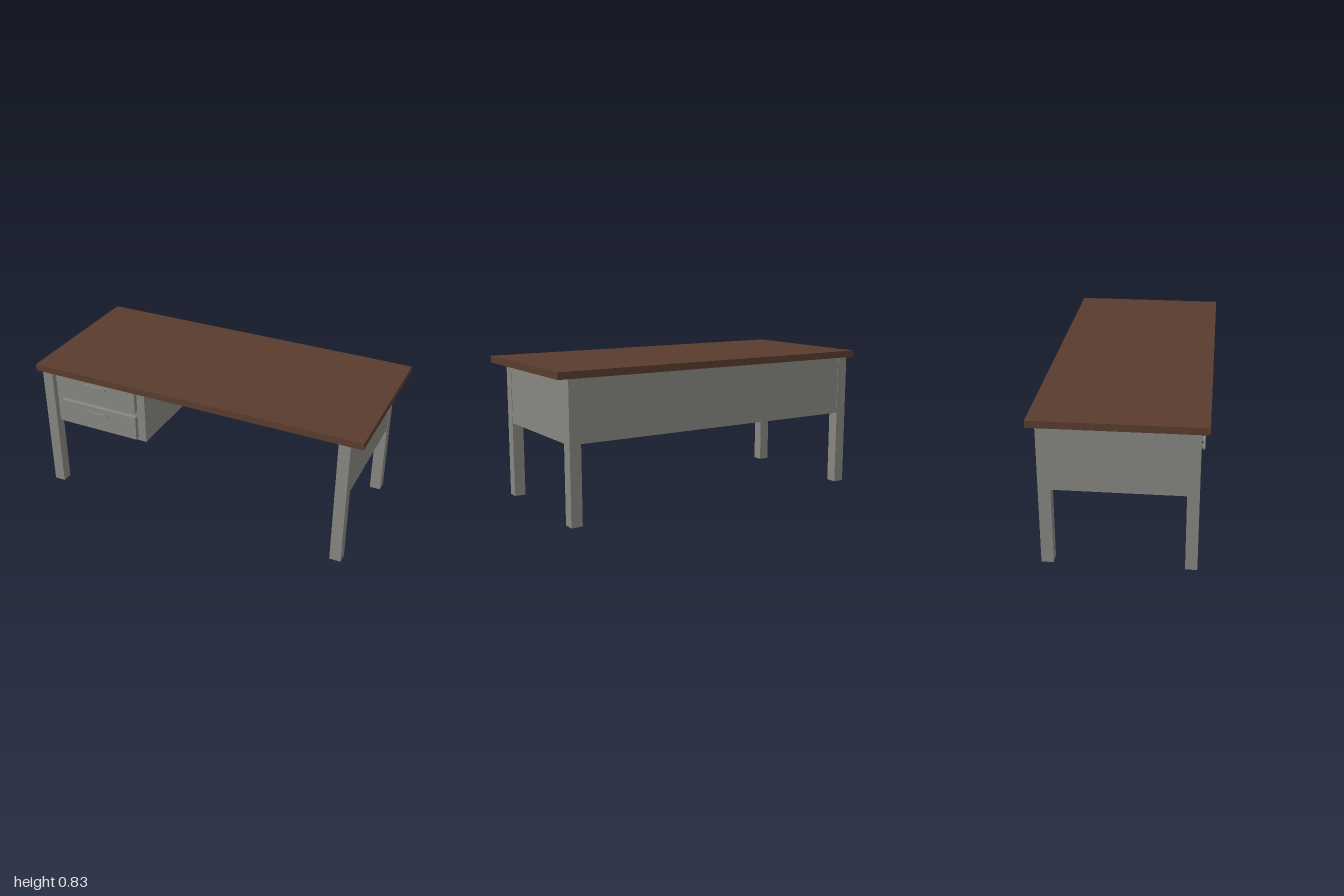
import * as THREE from 'three';

export function createModel() {
  const desk = new THREE.Group();
  desk.name = 'desk';
  const wood = new THREE.MeshStandardMaterial({ color: 0x593c2e });
  wood.name = 'brown wood';
  const metal = new THREE.MeshStandardMaterial({ color: 0x868681 });
  metal.name = 'grey metal';

  // Box given by its extents along each axis
  function box(name, [x0, x1], [y0, y1], [z0, z1], material = metal, parent = desk) {
    const mesh = new THREE.Mesh(new THREE.BoxGeometry(x1 - x0, y1 - y0, z1 - z0), material);
    mesh.position.set((x0 + x1) / 2, (y0 + y1) / 2, (z0 + z1) / 2);
    mesh.name = name;
    parent.add(mesh);
    return mesh;
  }

  const under = 0.794;
  box('tableTop', [-1, 1], [under, 0.833], [-0.458, 0.458], wood);

  // Four square legs
  const legX = { right: [-0.988, -0.922], left: [0.855, 0.921] };
  const legZ = { Front: [0.352, 0.416], Back: [-0.411, -0.345] };
  for (const side in legX)
    for (const end in legZ)
      box(`${side}${end}Leg`, legX[side], [0, under], legZ[end]);

  // Modesty panels between the legs and a slim rail under the front edge
  box('backPanel', [-0.922, 0.855], [0.443, under], [-0.408, -0.385]);
  box('leftPanel', [0.897, 0.919], [0.441, under], [-0.345, 0.352]);
  box('rightPanel', [-0.986, -0.964], [0.441, under], [-0.345, 0.352]);
  box('frontRail', [-0.32, 0.855], [0.783, under], [0.37, 0.39]);

  // Drawer cabinet with two raised drawer fronts
  box('cabinet', [-0.92, -0.32], [0.437, under], [-0.385, 0.384]);
  for (const [name, y0, y1] of [['upper', 0.632, 0.783], ['lower', 0.455, 0.602]]) {
    const drawer = new THREE.Group();
    drawer.name = `${name}Drawer`;
    desk.add(drawer);
    box('drawerFront', [-0.87, -0.37], [y0, y1], [0.384, 0.412], metal, drawer);

    // Bar handle on two posts
    const y = name === 'upper' ? 0.746 : 0.568;
    box('handleBar', [-0.695, -0.555], [y - 0.007, y + 0.007], [0.421, 0.431], metal, drawer);
    for (const x of [-0.67, -0.582])
      box('handlePost', [x - 0.008, x + 0.008], [y - 0.01, y + 0.01], [0.411, 0.432], metal, drawer);
  }
  return desk;
}
